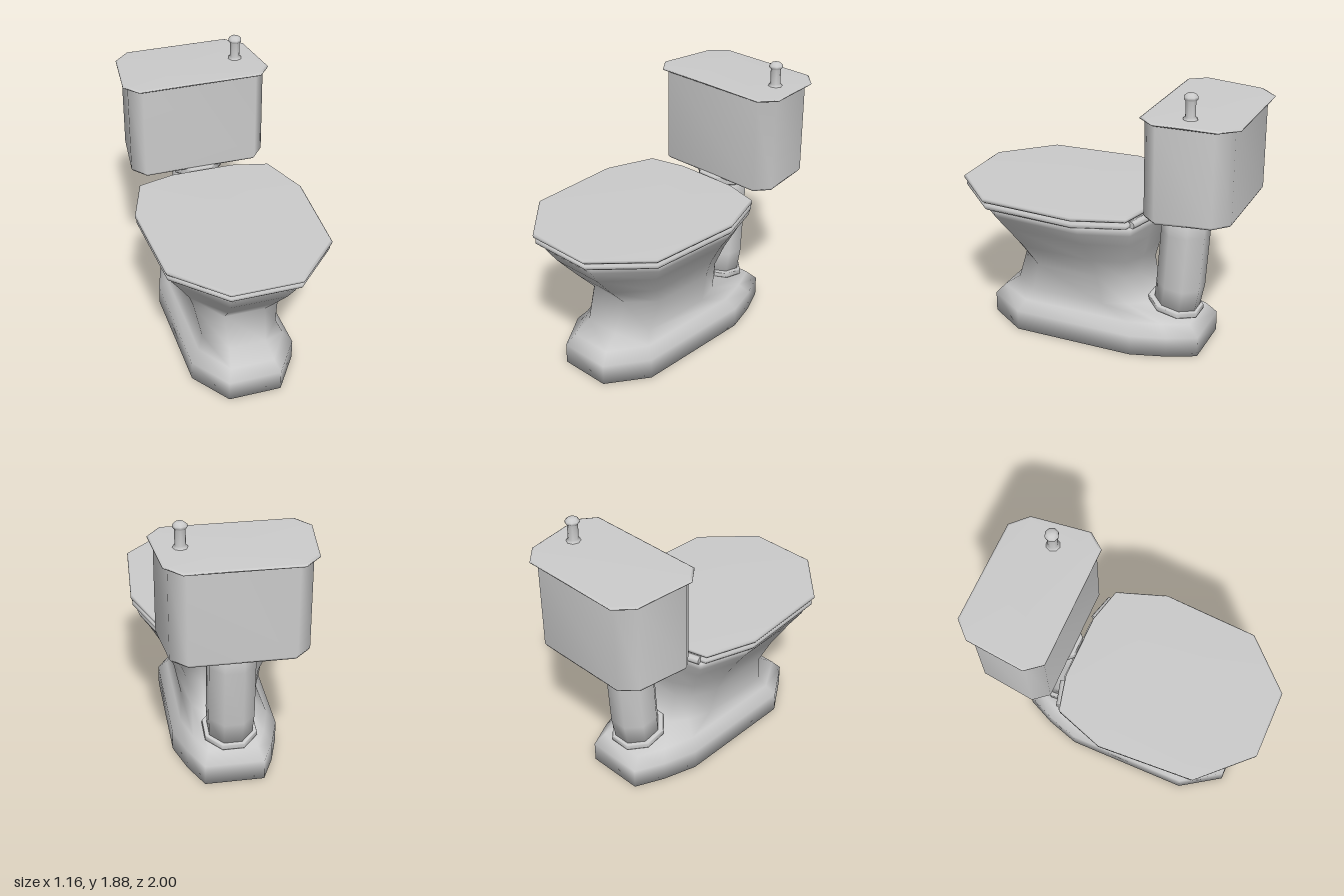
import * as THREE from 'three';

const material = new THREE.MeshStandardMaterial({ color: 0xcccccc, side: THREE.DoubleSide });

// Half outlines on the +x side, front to back, as [x, z] in -1..1
const BOWL = [[0.4, 1], [0.94, 0.53], [1, -0.42], [0.8, -0.91], [0.38, -1]];
const FOOT = [[0.5, 1], [1, 0.65], [1, -0.45], [0.8, -0.75], [0.55, -1]];
const TANK = [[0.83, 1], [1, 0.65], [0.91, -0.65], [0.7, -1]];

const blend = (a, b, t) => a.map((p, i) => p.map((v, k) => v + (b[i][k] - v) * t));

// A mirrored ring of points at height y; slope tilts it along z
function ring(half, y, width, front, back, slope = 0) {
  const mid = (front + back) / 2, len = (front - back) / 2;
  const full = [...half, ...half.map(([x, z]) => [-x, z]).reverse()];
  return full.map(([x, z]) => [x * width, y + z * len * slope, mid + z * len]);
}

// A regular ring, used for the pipe and its flanges
function roundRing(y, z, r, slope = 0, n = 8) {
  return Array.from({ length: n }, (_, i) => {
    const a = ((i + 0.5) / n) * Math.PI * 2;
    return [Math.sin(a) * r, y + Math.cos(a) * r * slope, z + Math.cos(a) * r];
  });
}

// Smooth skin over rings listed from bottom to top, with fan caps
function loft(name, rings, capTop = true) {
  const n = rings[0].length, last = (rings.length - 1) * n, index = [];
  const points = rings.flat();
  const centre = (r) => [0, 1, 2].map((k) => r.reduce((s, p) => s + p[k], 0) / n);
  const low = points.push(centre(rings[0])) - 1;
  const high = points.push(centre(rings[rings.length - 1])) - 1;
  for (let i = 0; i < n; i++) {
    const j = (i + 1) % n;
    for (let r = 0; r < last; r += n) {
      index.push(r + i, r + j, r + n + i, r + j, r + n + j, r + n + i);
    }
    index.push(low, j, i);
    if (capTop) index.push(high, last + i, last + j);
  }
  const geometry = new THREE.BufferGeometry();
  geometry.setAttribute('position', new THREE.Float32BufferAttribute(points.flat(), 3));
  geometry.setIndex(index);
  geometry.computeVertexNormals();
  const mesh = new THREE.Mesh(geometry, material);
  mesh.name = name;
  return mesh;
}

export function createModel() {
  const model = new THREE.Group();
  model.name = 'toilet';

  // Foot, waist and flaring bowl: [y, half width, front z, back z, foot-to-bowl blend]
  const body = [
    [0, 0.36, 0.82, -0.72, 0], [0.14, 0.36, 0.82, -0.72, 0], [0.21, 0.30, 0.76, -0.65, 0],
    [0.29, 0.265, 0.65, -0.32, 0.2], [0.51, 0.31, 0.58, -0.275, 0.4], [0.65, 0.365, 0.71, -0.31, 0.7],
    [0.81, 0.46, 0.85, -0.35, 0.9], [0.91, 0.53, 0.92, -0.38, 1], [0.97, 0.55, 0.93, -0.39, 1],
  ];
  model.add(loft('bowl', body.map(([y, w, f, b, t]) => ring(blend(FOOT, BOWL, t), y, w, f, b))));

  // Seat and its cover
  const slab = (name, y, h, w, f, b) => loft(name, [
    ring(BOWL, y, w * 0.985, f - 0.012, b + 0.008),
    ring(BOWL, y + h * 0.3, w, f, b),
    ring(BOWL, y + h * 0.75, w, f, b),
    ring(BOWL, y + h, w * 0.985, f - 0.012, b + 0.008),
  ]);
  model.add(slab('seat', 0.965, 0.04, 0.572, 0.985, -0.37));
  model.add(slab('seatCover', 1.015, 0.035, 0.582, 1, -0.37));

  // Seat hinges
  for (const side of [-1, 1]) {
    const hinge = new THREE.Mesh(new THREE.CylinderGeometry(0.026, 0.026, 0.18, 8), material);
    hinge.name = side > 0 ? 'leftHinge' : 'rightHinge';
    hinge.rotation.set(0, side * -0.27, Math.PI / 2);
    hinge.position.set(side * 0.335, 0.988, -0.35);
    model.add(hinge);
  }

  // Flush pipe with a tilted lower flange and a level upper one
  model.add(loft('flushPipe', [
    roundRing(0.26, -0.495, 0.155, 0.2), roundRing(0.43, -0.52, 0.165, 0.1),
    roundRing(0.82, -0.545, 0.165), roundRing(1.0, -0.55, 0.165),
  ]));
  const flange = (name, y, z, r, h, slope) => loft(name, [
    roundRing(y, z, r, slope), roundRing(y + h * 0.2, z, r * 1.02, slope),
    roundRing(y + h * 0.8, z, r * 1.02, slope), roundRing(y + h, z, r, slope),
  ]);
  model.add(flange('lowerFlange', 0.25, -0.488, 0.185, 0.04, 0.2));
  model.add(flange('upperFlange', 0.99, -0.547, 0.18, 0.065, 0));

  // Cistern, closed above by its lid
  model.add(loft('tank', [
    ring(TANK, 1.052, 0.465, -0.41, -0.95, -0.02),
    ring(TANK, 1.07, 0.475, -0.4, -0.96, -0.02),
    ring(TANK, 1.705, 0.475, -0.4, -0.96, 0.02),
  ], false));
  model.add(loft('tankLid', [
    ring(TANK, 1.697, 0.495, -0.39, -0.985, 0.025),
    ring(TANK, 1.704, 0.508, -0.378, -1, 0.025),
    ring(TANK, 1.712, 0.508, -0.378, -1, 0.025),
    ring(TANK, 1.719, 0.495, -0.39, -0.985, 0.025),
  ]));

  // Flush knob
  const profile = [[0.05, 0], [0.046, 0.012], [0.034, 0.025], [0.034, 0.125], [0.046, 0.137],
    [0.046, 0.152], [0.028, 0.168], [0, 0.17]].map(([r, y]) => new THREE.Vector2(r, y));
  const knob = new THREE.Mesh(new THREE.LatheGeometry(profile, 8), material);
  knob.name = 'flushKnob';
  knob.position.set(0.33, 1.712, -0.67);
  model.add(knob);

  return model;
}
